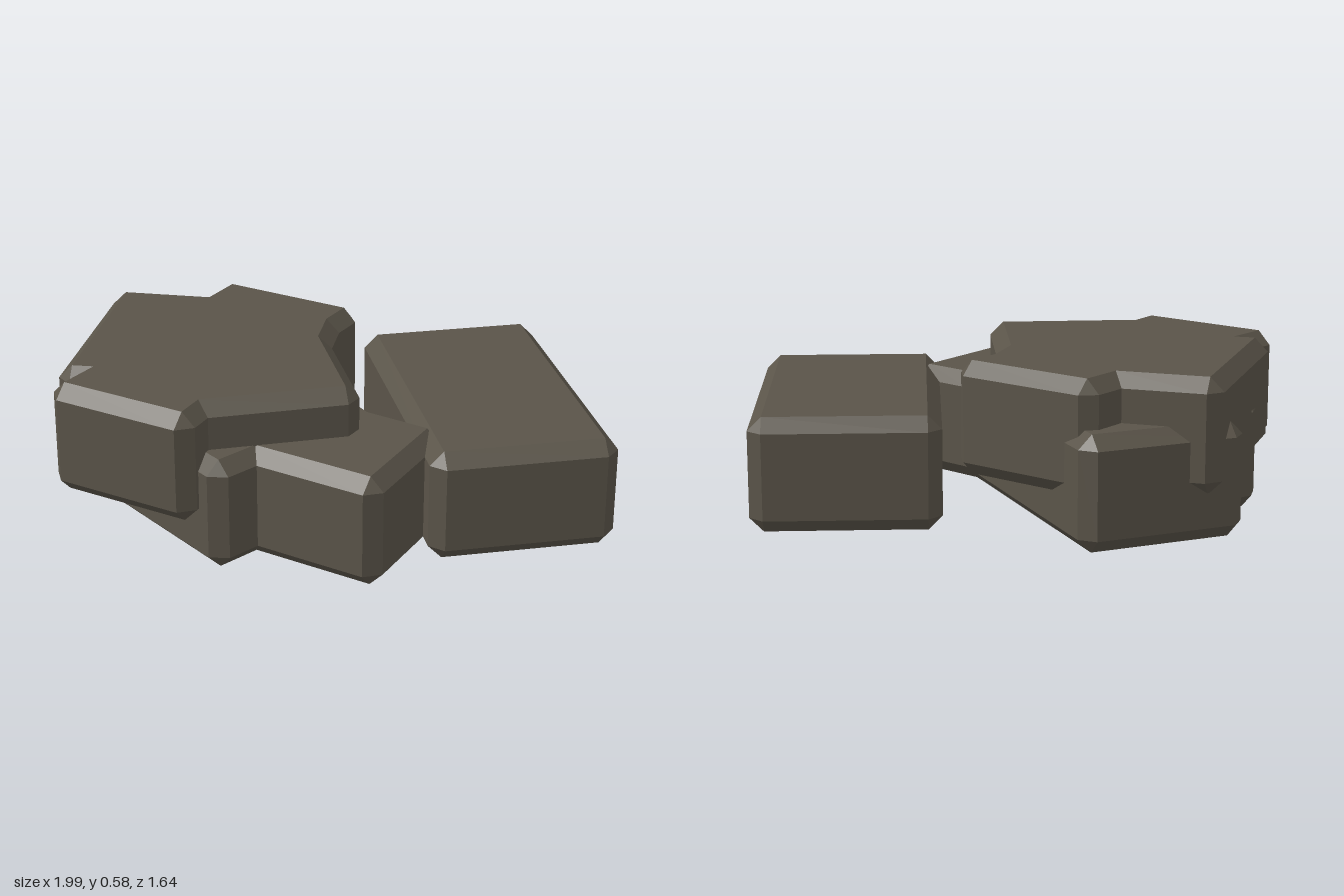
import * as THREE from 'three';

const BEVEL = 0.05;

// Chamfered stone block from an outline of [x, z] corners, clockwise seen from above.
// Outer corners are cut off, inner corners stay mitred.
function stoneGeometry(outline, y0, y1, b = BEVEL) {
  const pts = outline.map(([x, z]) => new THREE.Vector2(x, z));
  const n = pts.length;
  const dirs = pts.map((p, i) => pts[(i + 1) % n].clone().sub(p).normalize());
  const normals = dirs.map(d => new THREE.Vector2(d.y, -d.x));
  const cap = [], inner = [], outer = [];
  pts.forEach((p, i) => {
    const k = (i + n - 1) % n, n1 = normals[k], n2 = normals[i];
    const q = p.clone().addScaledVector(n1.clone().add(n2), -b / (1 + n1.dot(n2)));
    cap.push(q);
    if (dirs[k].cross(dirs[i]) > 0) {
      inner.push(q, q);
      outer.push(q.clone().addScaledVector(n1, b), q.clone().addScaledVector(n2, b));
    } else {
      inner.push(q);
      outer.push(p);
    }
  });

  const pos = [];
  const at = (v, y) => new THREE.Vector3(v.x, y, v.y);
  const tri = (p, q, r) => {
    const area = q.clone().sub(p).cross(r.clone().sub(p)).length();
    if (area > 1e-7) for (const v of [p, q, r]) pos.push(v.x, v.y, v.z);
  };

  // Lower chamfer, wall and upper chamfer
  const rings = [[inner, y0], [outer, y0 + b], [outer, y1 - b], [inner, y1]];
  for (let r = 0; r < 3; r++) {
    const [lo, ya] = rings[r], [hi, yb] = rings[r + 1];
    for (let i = 0; i < lo.length; i++) {
      const j = (i + 1) % lo.length;
      tri(at(lo[i], ya), at(hi[i], yb), at(hi[j], yb));
      tri(at(lo[i], ya), at(hi[j], yb), at(lo[j], ya));
    }
  }

  // Flat top and underside
  for (const [i, j, k] of THREE.ShapeUtils.triangulateShape(cap, [])) {
    let [p, q, r] = [cap[i], cap[j], cap[k]];
    const up = (q.y - p.y) * (r.x - p.x) - (q.x - p.x) * (r.y - p.y);
    if (up < 0) [q, r] = [r, q];
    tri(at(p, y1), at(q, y1), at(r, y1));
    tri(at(p, y0), at(r, y0), at(q, y0));
  }

  const geometry = new THREE.BufferGeometry();
  geometry.setAttribute('position', new THREE.Float32BufferAttribute(pos, 3));
  geometry.computeVertexNormals();
  return geometry;
}

export function createModel() {
  const group = new THREE.Group();
  group.name = 'stonePile';
  const stone = new THREE.MeshStandardMaterial({ name: 'dark stone', color: 0x5a5449, flatShading: true });

  const add = (name, geometry) => {
    const mesh = new THREE.Mesh(geometry, stone);
    mesh.name = name;
    group.add(mesh);
    return mesh;
  };

  // Plain rectangular block lying beside the pile
  const w = 0.337, d = 0.58;
  const block = add('sideBlock', stoneGeometry([[-w, -d], [w, -d], [w, d], [-w, d]], 0, 0.41));
  block.position.set(0.567, 0, 0.194);
  block.rotation.y = THREE.MathUtils.degToRad(-10.3);

  // Jagged stone on the ground
  add('lowerStone', stoneGeometry([
    [-0.67, -0.725], [-0.06, -0.83], [0.115, 0.25], [0.28, 0.48], [-0.125, 0.82],
    [-0.41, 0.44], [-0.58, 0.51], [-0.85, -0.37], [-0.63, -0.45],
  ], 0, 0.41));

  // Jagged stone resting on top
  add('upperStone', stoneGeometry([
    [-0.535, -0.815], [-0.24, -0.64], [-0.1, -0.75], [0.275, -0.285], [0.14, -0.18],
    [0.06, -0.05], [-0.02, 0.44], [-0.555, 0.36], [-0.66, 0.455], [-1.03, -0.01],
    [-0.92, -0.09], [-0.965, -0.115],
  ], 0.17, 0.58));

  return group;
}
